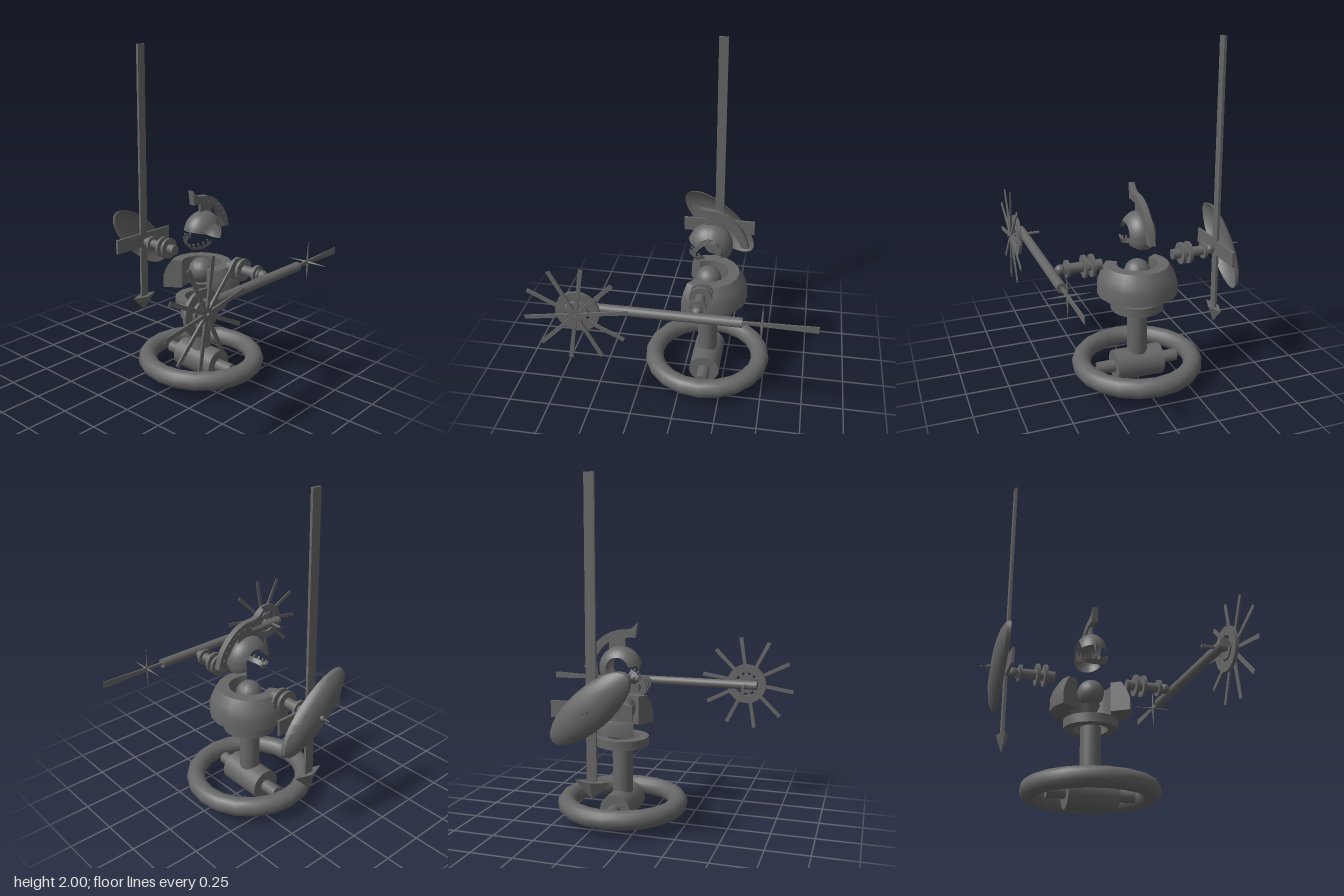
import * as THREE from 'three';
import { toCreasedNormals } from 'three/addons/utils/BufferGeometryUtils.js';

const CX = -0.005, CZ = -0.14;
const mat = new THREE.MeshStandardMaterial({ color: 0x666666, side: THREE.DoubleSide });

export function createModel() {
  const model = new THREE.Group();
  model.name = 'wheeledGladiator';

  const add = (name, geo, x, y, z, parent = model) => {
    const m = new THREE.Mesh(toCreasedNormals(geo, 0.6), mat);
    m.name = name;
    m.position.set(x, y, z);
    parent.add(m);
    return m;
  };
  const group = (name, x, y, z, parent = model) => {
    const g = new THREE.Group();
    g.name = name;
    g.position.set(x, y, z);
    parent.add(g);
    return g;
  };
  const cylX = (r, len, seg = 16) => new THREE.CylinderGeometry(r, r, len, seg).rotateZ(Math.PI / 2);
  const lathe = (pts, seg, start = 0, len = Math.PI * 2) =>
    new THREE.LatheGeometry(pts.map(p => new THREE.Vector2(...p)), seg, start, len);
  const annulusX = (r0, r1, t) =>
    lathe([[r1, -t / 2], [r1, t / 2], [r0, t / 2], [r0, -t / 2], [r1, -t / 2]], 20).rotateZ(Math.PI / 2);
  // Blade rising along y from its root; thickness in x and width in z change toward the tip
  const blade = (len, [rootT, rootW], [tipT, tipW]) => {
    const geo = new THREE.BoxGeometry(1, len, 1).translate(0, len / 2, 0);
    const p = geo.attributes.position;
    for (let i = 0; i < p.count; i++) {
      const tip = p.getY(i) > len / 2;
      p.setX(i, p.getX(i) * (tip ? tipT : rootT));
      p.setZ(i, p.getZ(i) * (tip ? tipW : rootW));
    }
    return geo;
  };

  // Base: floor ring, roller, axle and column
  add('floorRing', new THREE.TorusGeometry(0.335, 0.056, 14, 20).rotateX(Math.PI / 2), CX, 0.106, CZ);
  add('baseRoller', cylX(0.093, 0.29, 20), CX, 0.094, CZ);
  add('baseAxle', cylX(0.037, 0.5), CX, 0.094, CZ);
  add('column', new THREE.CylinderGeometry(0.06, 0.06, 0.3, 18), CX, 0.32, CZ);
  add('waistRing', lathe([[0.157, 0.457], [0.157, 0.51], [0.1, 0.51], [0.1, 0.457], [0.157, 0.457]], 24), CX, 0, CZ);

  // Torso: thick shell open at the front, with capped cut faces
  const torso = group('torso', CX, 0, CZ);
  const profile = [[0.235, 0.556], [0.235, 0.63], [0.217, 0.68], [0.185, 0.73], [0.12, 0.73], [0.12, 0.556], [0.235, 0.556]];
  const cut = 0.97;
  add('torsoShell', lathe(profile, 12, cut, Math.PI * 2 - 2 * cut), 0, 0, 0, torso);
  for (const a of [cut, -cut]) {
    const cap = new THREE.ShapeGeometry(new THREE.Shape(profile.map(p => new THREE.Vector2(...p))));
    add('torsoCutFace', cap.rotateY(a - Math.PI / 2), 0, 0, 0, torso);
  }
  add('coreSphere', new THREE.SphereGeometry(0.078, 18, 12), 0, 0.678, 0, torso);
  add('coreCone', new THREE.ConeGeometry(0.055, 0.11, 14).rotateX(Math.PI), 0, 0.548, 0, torso);

  // Arms: shaft with collars and a ball hand
  for (const s of [-1, 1]) {
    const arm = group(s > 0 ? 'leftArm' : 'rightArm', CX, 0.755, CZ);
    add('armShaft', cylX(0.029, 0.22), s * 0.33, 0, 0, arm);
    for (const [x, r] of [[0.275, 0.066], [0.32, 0.066], [0.42, 0.05]])
      add('armCollar', cylX(r, 0.018), s * x, 0, 0, arm);
    add('shoulderCap', cylX(0.031, 0.035), s * 0.235, 0, 0, arm);
    add('hand', new THREE.SphereGeometry(0.03, 14, 10), s * 0.46, 0, 0, arm);
  }

  // Helmet: rounded arch over the head, open at the sides and face
  const head = group('helmet', CX, 0.918, -0.15);
  for (const [name, r] of [['helmetDome', 0.13], ['helmetLining', 0.116]])
    add(name, new THREE.SphereGeometry(r, 24, 14, Math.PI / 2 + 0.2, Math.PI + 0.3, 0.64, Math.PI - 1.28)
      .rotateZ(Math.PI / 2).scale(0.76, 1, 1), 0, 0, 0, head);
  add('noseGuard', new THREE.ConeGeometry(0.018, 0.06, 4).rotateX(Math.PI), 0, 0.01, 0.112, head);

  // Chin guard: tilted half band with teeth
  const chin = group('chinGuard', 0, -0.035, 0.025, head);
  chin.rotation.x = 0.5;
  add('chinBand', new THREE.CylinderGeometry(0.095, 0.088, 0.03, 18, 1, true, -Math.PI / 2, Math.PI), 0, 0, 0, chin);
  for (let i = -4; i <= 4; i++) {
    const a = i * 0.33;
    const t = add('chinTooth', new THREE.BoxGeometry(0.01, 0.022, 0.008), 0.092 * Math.sin(a), 0.022, 0.092 * Math.cos(a), chin);
    t.rotation.y = a;
  }

  // Crest: curved fin with rivets, outlined in z and y
  const V = (z, y) => new THREE.Vector2(z, y);
  const fin = new THREE.Shape();
  fin.moveTo(-0.042, 1.19);
  fin.splineThru([V(-0.09, 1.15), V(-0.19, 1.135), V(-0.27, 1.09), V(-0.34, 1.01), V(-0.375, 0.915)]);
  fin.lineTo(-0.33, 0.915);
  fin.splineThru([V(-0.3, 0.98), V(-0.24, 1.055), V(-0.17, 1.09), V(-0.09, 1.1), V(-0.055, 1.1)]);
  fin.lineTo(-0.042, 1.19);
  const finGeo = new THREE.ExtrudeGeometry(fin, { depth: 0.036, bevelEnabled: false, curveSegments: 12 })
    .rotateY(-Math.PI / 2).translate(0.018, 0, 0);
  const crest = group('crest', CX, 0, 0);
  add('crestFin', finGeo, 0, 0, 0, crest);
  add('crestMount', new THREE.BoxGeometry(0.014, 0.07, 0.1), 0, 1.06, -0.17, crest);
  for (const s of [-1, 1])
    for (let i = 0; i < 7; i++) {
      const a = 0.25 + i * 0.23;
      add('crestRivet', new THREE.SphereGeometry(0.006, 6, 4), s * 0.018, 0.915 + 0.19 * Math.sin(a), -0.15 - 0.19 * Math.cos(a), crest);
    }

  // Spear: flat pole, crossbar and four-sided head pointing down
  const spear = group('spear', -0.506, 0, CZ);
  add('spearPole', new THREE.BoxGeometry(0.016, 1.62, 0.056), 0, 1.19, 0, spear);
  add('spearCrossbar', new THREE.BoxGeometry(0.016, 0.09, 0.46), 0, 0.765, 0, spear);
  add('spearHead', new THREE.ConeGeometry(1, 0.1, 4).rotateX(Math.PI).scale(0.036, 1, 0.1), 0, 0.33, 0, spear);

  // Shield: shallow elliptical dish tilted along its length, with a boss spike
  const shield = group('shield', -0.525, 0.78, CZ);
  const dish = add('shieldDish', lathe([[1, 0], [0.97, 0.022], [0.8, 0.045], [0.5, 0.062], [0, 0.07],
    [0, 0.055], [0.5, 0.047], [0.8, 0.03], [0.93, 0.008], [1, 0]].reverse(), 28)
    .scale(0.113, 1, 0.29).rotateZ(Math.PI / 2), 0, 0, 0, shield);
  dish.rotation.x = -0.725;
  add('shieldSpike', cylX(0.004, 0.06, 8), -0.096, -0.005, 0, shield);
  add('shieldBoss', cylX(0.013, 0.02, 10), -0.078, -0.005, 0, shield);

  // Lance: round shaft along z with a flaring tail blade and a star guard
  const lance = group('lance', 0.515, 0.758, 0);
  add('lanceShaft', new THREE.CylinderGeometry(0.028, 0.028, 0.97, 16).rotateX(Math.PI / 2), 0, 0, 0.09, lance);
  add('tailBlade', blade(0.42, [0.014, 0.014], [0.004, 0.042]).rotateX(-Math.PI / 2), 0, 0, -0.38, lance);
  for (let i = 0; i < 4; i++) {
    const spike = add('starSpike', new THREE.ConeGeometry(0.008, 0.137, 6).translate(0, 0.0685, 0), 0, 0, -0.5, lance);
    spike.rotation.z = i * Math.PI / 2;
  }

  // Bladed wheel on the end of the lance
  const wheel = group('bladeWheel', 0, 0, 0.5, lance);
  add('wheelAxle', cylX(0.009, 0.2, 10), 0, 0, 0, wheel);
  add('wheelRing', annulusX(0.075, 0.125, 0.018), 0.045, 0, 0, wheel);
  add('wheelHubRing', annulusX(0.035, 0.058, 0.018), 0.045, 0, 0, wheel);
  for (let i = 0; i < 10; i++) {
    const spoke = add('wheelBlade', blade(0.295, [0.014, 0.018], [0.005, 0.025]), 0.08, 0, 0, wheel);
    spoke.rotation.x = -(0.157 + i * Math.PI / 5);
  }

  return model;
}
